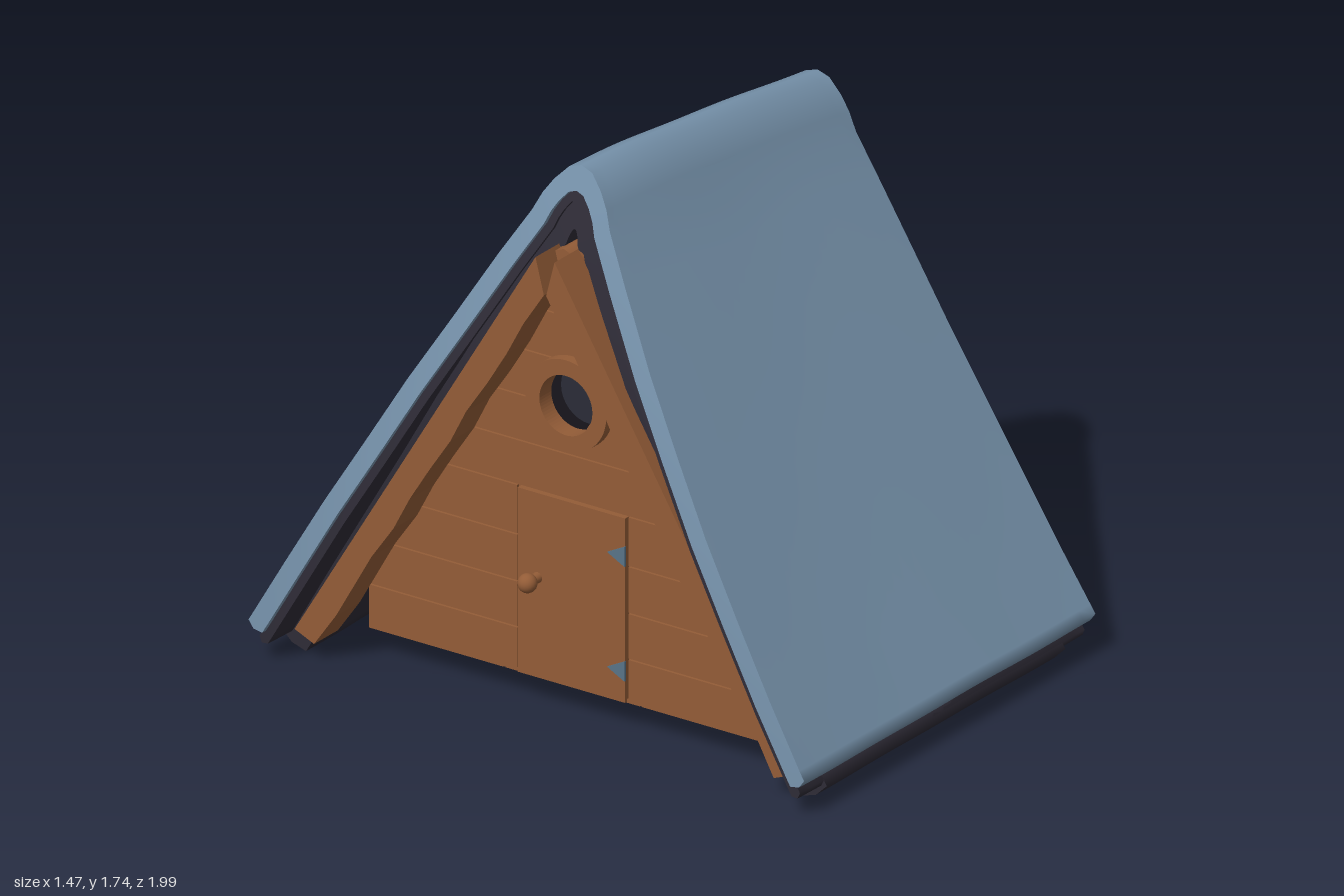
import * as THREE from 'three';

const mat = (name, color) => {
  const m = new THREE.MeshStandardMaterial({ color });
  m.name = name;
  return m;
};
const lerp = THREE.MathUtils.lerp;

export function createModel() {
  const wood = mat('wood', 0x935c37);
  const roofBlue = mat('roof blue', 0x7793ac);
  const lining = mat('dark lining', 0x2e2b36);
  const glass = mat('window glass', 0x2a2c37);
  const steel = mat('hinge steel', 0x587387);

  const house = new THREE.Group();
  house.name = 'cabin';
  const add = (name, geo, material, x = 0, y = 0, z = 0) => {
    const mesh = new THREE.Mesh(geo, material);
    mesh.name = name;
    mesh.position.set(x, y, z);
    house.add(mesh);
    return mesh;
  };
  const box = (name, sx, sy, sz, material, x, y, z) =>
    add(name, new THREE.BoxGeometry(sx, sy, sz), material, x, y, z);

  // Outline given as [z, y], extruded between x0 and x1 on side e of the model
  const shapeOf = pts => new THREE.Shape(pts.map(([z, y]) => new THREE.Vector2(-z, y)));
  const slab = (name, shape, x0, x1, material, e = 1) => {
    const geo = new THREE.ExtrudeGeometry(shape, { depth: x1 - x0, bevelEnabled: false, curveSegments: 32 });
    geo.rotateY(Math.PI / 2);
    return add(name, geo, material, e > 0 ? x0 : -x1);
  };

  // Roof path at inward offset d: eave, straight slope, rounded ridge, mirrored
  const roofPath = (h, d, slide) => {
    const eave = [0.996 - 0.855 * d + 0.52 * slide, 0.125 - 0.52 * d - 0.855 * slide];
    const k = Math.max(0.02, 0.14 - 0.855 * d);
    const ky = h - 0.16 - 0.52 * d, top = h - 1.25 * d;
    const half = [];
    for (const t of [0, 0.02, 0.15, 0.3, 0.45, 0.6, 0.75, 0.9, 1])
      half.push([lerp(eave[0], k, t), lerp(eave[1], ky, t)]);
    for (const [a, b] of [[0.82, 0.64], [0.6, 0.35], [0.3, 0.08]])
      half.push([k * a, lerp(top, ky, b)]);
    return [...half, [0, top], ...half.slice().reverse().map(([z, y]) => [-z, y])];
  };
  const leftEdge = y => -0.74 + 0.28 * Math.pow(Math.max(0, y) / 1.74, 2.2);
  const rightEdge = y => 0.73 - 0.013 * Math.sin((Math.PI * y) / 1.74);
  const ridgeHeight = x => {
    const t = (x + 0.47) / 1.2;
    return 1.737 - 0.13 * t + 0.013 * Math.sin(Math.PI * t);
  };

  // Loft of closed roof sections along the sloping ridge
  const roofLayer = (name, d0, d1, slide, inset, limit, material) => {
    const steps = 24, pos = [], index = [];
    let n = 0, m = 0;
    const section = u => {
      const h = ridgeHeight(lerp(-0.47, Math.min(0.73, limit), u));
      const outer = roofPath(h, d0, slide), inner = roofPath(h, d1, slide);
      const mid = roofPath(h, (d0 + d1) / 2, slide + 0.012);
      n = outer.length;
      m = 2 * n + 2;
      const ring = [...outer, mid[n - 1], ...inner.reverse(), mid[0]];
      for (const [z, y] of ring) {
        const x = lerp(Math.max(leftEdge(y) + inset, -limit), Math.min(rightEdge(y) - inset, limit), u);
        const wave = 0.003 * Math.sin(x * 9 + y * 4) * Math.sin(y * 7 + x * 3);
        pos.push(x, Math.max(0, y + wave), z + Math.sign(z) * wave * 0.4);
      }
    };
    for (let i = 0; i <= steps; i++) section(i / steps);
    for (let i = 0; i < steps; i++) {
      for (let j = 0; j < m; j++) {
        const a = i * m + j, c = i * m + ((j + 1) % m);
        index.push(a, a + m, c, a + m, c + m, c);
      }
    }
    // End faces
    for (const u of [0, 1]) {
      const base = pos.length / 3;
      section(u);
      const tri = (a, b, c) => index.push(base + a, base + (u ? c : b), base + (u ? b : c));
      for (let j = 0; j < n - 1; j++) {
        tri(j, j + 1, 2 * n - j - 1);
        tri(j, 2 * n - j - 1, 2 * n - j);
      }
      tri(2 * n, 2 * n + 1, 0);
      tri(n - 1, n, n + 1);
    }
    const geo = new THREE.BufferGeometry();
    geo.setAttribute('position', new THREE.Float32BufferAttribute(pos, 3));
    geo.setIndex(index);
    geo.computeVertexNormals();
    add(name, geo, material);
  };
  roofLayer('roofCover', 0, 0.058, 0, 0, 0.75, roofBlue);
  roofLayer('roofLining', 0.05, 0.085, 0.03, 0.018, 0.74, lining);
  roofLayer('roofInsulation', 0.05, 0.155, 0.05, 0.03, 0.6, lining);

  // Body with a round window opening in each gable
  const winY = 0.995;
  const halfWidth = y => Math.min(0.73, (0.73 * (1.47 - y)) / 1.19);
  const body = shapeOf([[0.73, 0.09], [0.73, 0.28], [0, 1.47], [-0.73, 0.28], [-0.73, 0.09]]);
  body.holes.push(new THREE.Path().absarc(0, winY, 0.095, 0, Math.PI * 2, true));
  slab('body', body, -0.495, 0.495, wood);
  for (const z of [-0.489, 0, 0.489]) box('floorBoard', 1.01, 0.012, 0.482, wood, 0, 0.088, z);

  // Ridge beam
  const beam = new THREE.CylinderGeometry(0.064, 0.064, 1.1, 8);
  beam.rotateZ(Math.PI / 2);
  add('ridgeBeam', beam, wood, 0, 1.436, 0);

  // Inner edge of the planks: clear of the door and of the window opening
  const innerEdge = y => {
    if (y < 0.68) return 0.2;
    const r = 0.0154 - (y - winY) ** 2;
    return r > 0 ? Math.sqrt(r) : 0;
  };
  const rows = [0.084, 0.225, 0.372, 0.522, 0.681, 0.825, 0.972, 1.12, 1.265, 1.39, 1.46];

  for (const e of [1, -1]) {
    // Wall planks with narrow grooves between rows
    for (let r = 0; r < rows.length - 1; r++) {
      for (const s of [1, -1]) {
        const pts = [], y0 = rows[r], y1 = rows[r + 1] - 0.005;
        for (let i = 0; i <= 8; i++) pts.push([s * innerEdge(lerp(y0, y1, i / 8)), lerp(y0, y1, i / 8)]);
        for (const y of [y1, Math.min(y1, Math.max(y0, 0.28)), y0]) pts.push([s * halfWidth(y), y]);
        slab('wallPlank', shapeOf(pts), 0.49, 0.505, wood, e);
      }
    }

    // Door with knob and hinges
    box('door', 0.03, 0.59, 0.386, wood, e * 0.5, 0.38, 0.002);
    const stem = new THREE.CylinderGeometry(0.014, 0.018, 0.05, 12);
    stem.rotateZ(Math.PI / 2);
    add('knobStem', stem, wood, e * 0.53, 0.405, -0.12);
    add('knob', new THREE.SphereGeometry(0.03, 20, 14), wood, e * 0.565, 0.405, -0.12);
    for (const y of [0.555, 0.188])
      slab('hinge', shapeOf([[0.197, y - 0.032], [0.197, y + 0.032], [0.135, y]]), 0.513, 0.522, steel, e);

    // Window ring and recessed pane
    const ring = new THREE.Shape().absarc(0, winY, 0.145, 0, Math.PI * 2, false);
    ring.holes.push(new THREE.Path().absarc(0, winY, 0.095, 0, Math.PI * 2, true));
    slab('windowRing', ring, 0.48, 0.54, wood, e);
    const pane = new THREE.CylinderGeometry(0.1, 0.1, 0.008, 32);
    pane.rotateZ(Math.PI / 2);
    add('windowPane', pane, glass, e * 0.42, winY, 0);

    // Rough-hewn boards under the roof edge
    for (const s of [1, -1]) {
      const outer = [], inner = [];
      for (let i = 0; i <= 12; i++) {
        const t = i / 12, w = i ? 0.006 * Math.sin(i * 2.3 + s) : 0;
        outer.push([s * lerp(0.034, 0.898, t), lerp(1.5, 0.085, t)]);
        inner.push([s * (lerp(0.004, 0.822, t) + w), lerp(1.385, 0.055, t)]);
      }
      slab('gableBoard', shapeOf([...outer, ...inner.reverse()]), 0.525, 0.645, wood, e);
    }
  }
  return house;
}
